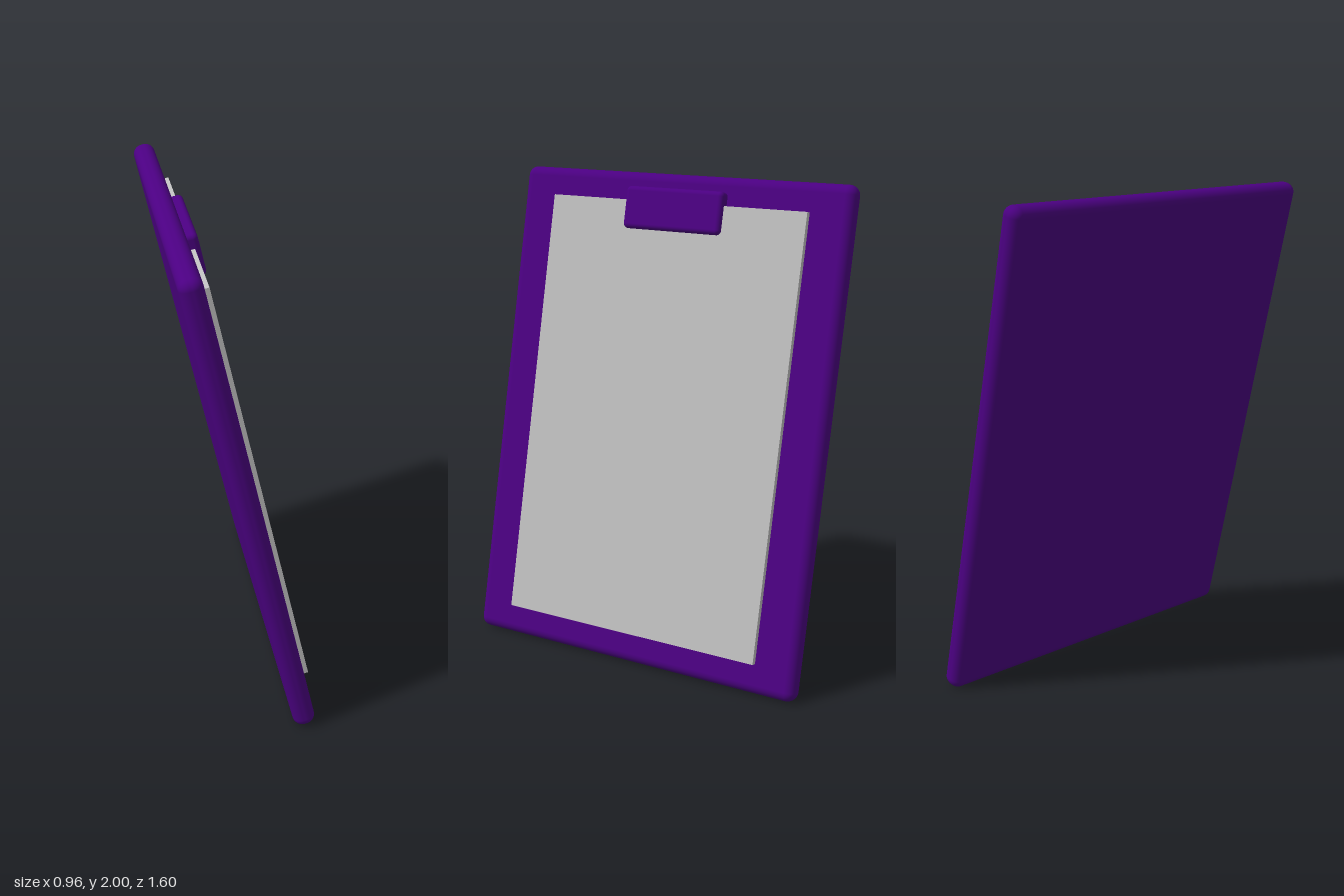
import * as THREE from 'three';
import { RoundedBoxGeometry } from 'three/addons/geometries/RoundedBoxGeometry.js';

const deg = THREE.MathUtils.degToRad;

export function createModel() {
  const purple = new THREE.MeshStandardMaterial({ color: 0x4b0082 });
  purple.name = 'indigo';
  const gray = new THREE.MeshStandardMaterial({ color: 0xc0c0c0 });
  gray.name = 'paperGray';

  // Clipboard in its own frame: x across, y up the board, z out of the writing face
  const clipboard = new THREE.Group();
  clipboard.name = 'clipboard';
  const add = (name, geometry, material, y, z) => {
    const mesh = new THREE.Mesh(geometry, material);
    mesh.name = name;
    mesh.position.set(0, y, z);
    clipboard.add(mesh);
  };

  // Backing board with softened edges
  add('board', new RoundedBoxGeometry(1.533, 2.048, 0.09, 4, 0.04), purple, 0, 0);
  // Sheet of paper standing slightly proud of the board
  add('paper', new THREE.BoxGeometry(1.18, 1.8, 0.028), gray, 0.003, 0.0545);
  // Clip holding the paper at the top
  add('clip', new RoundedBoxGeometry(0.452, 0.175, 0.07, 4, 0.02), purple, 0.872, 0.055);

  // Lean back, then turn towards the left
  clipboard.rotation.set(deg(-13), deg(72), 0, 'YXZ');
  clipboard.position.y = 1;

  const model = new THREE.Group();
  model.name = 'model';
  model.add(clipboard);
  return model;
}
